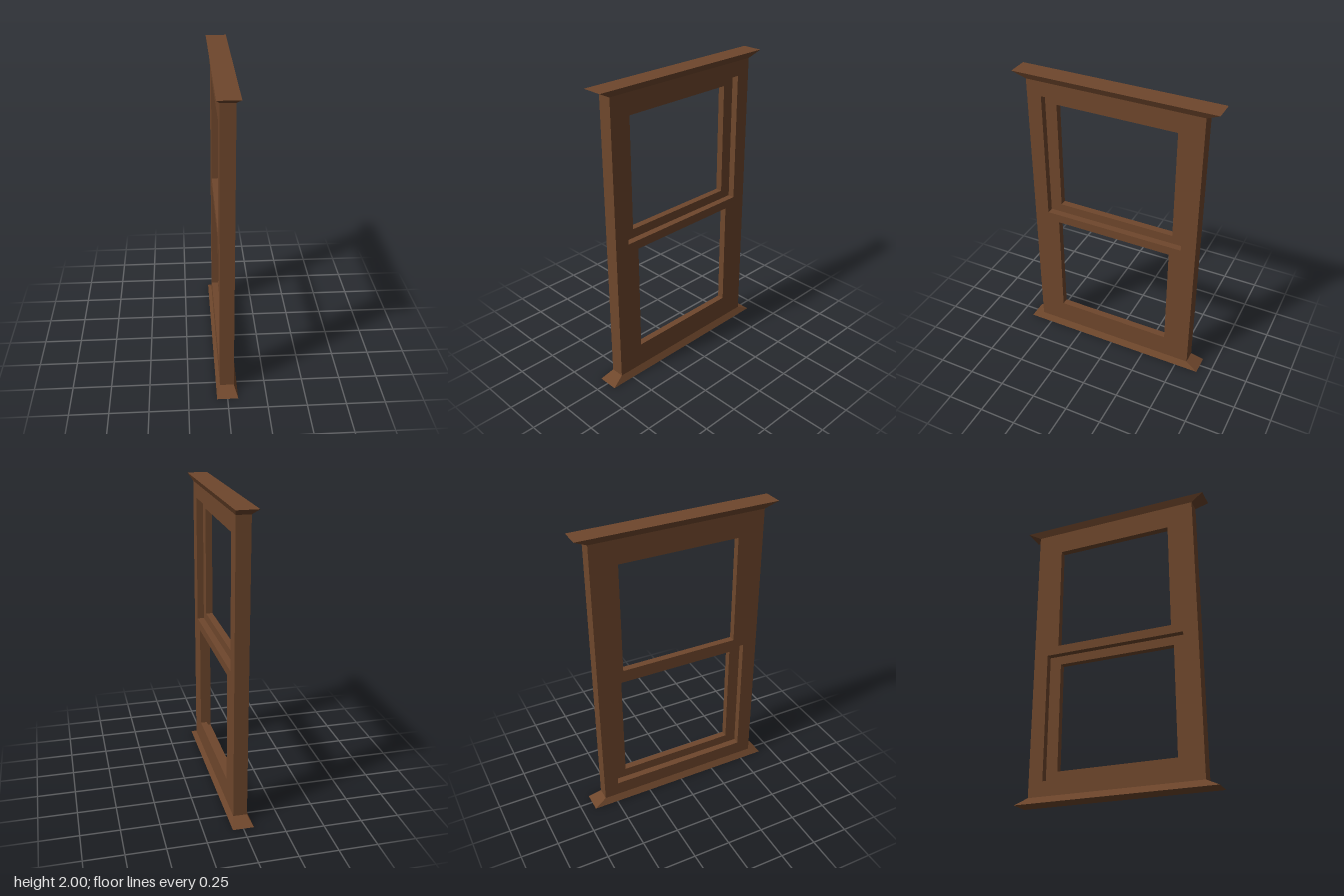
import * as THREE from 'three';

const wood = new THREE.MeshStandardMaterial({ color: 0x6f472c });
wood.name = 'brownWood';

// Rectangular frame in the yz plane, spanning x0..x1, with a rectangular opening
function makeFrame(name, halfW, y0, y1, holeHalfW, holeY0, holeY1, x0, x1) {
  const shape = new THREE.Shape();
  shape.moveTo(-halfW, y0).lineTo(halfW, y0).lineTo(halfW, y1).lineTo(-halfW, y1).closePath();
  const hole = new THREE.Path();
  hole.moveTo(-holeHalfW, holeY0).lineTo(-holeHalfW, holeY1).lineTo(holeHalfW, holeY1).lineTo(holeHalfW, holeY0).closePath();
  shape.holes.push(hole);
  const geo = new THREE.ExtrudeGeometry(shape, { depth: x1 - x0, bevelEnabled: false });
  geo.rotateY(Math.PI / 2); // extrusion now runs along +x
  geo.translate(x0, 0, 0);
  const mesh = new THREE.Mesh(geo, wood);
  mesh.name = name;
  return mesh;
}

// Moulding that flares from the frame's outline to a wider outer face
function makeMoulding(name, innerY, outerY) {
  const geo = new THREE.BoxGeometry(1, Math.abs(outerY - innerY), 1);
  geo.translate(0, (innerY + outerY) / 2, 0);
  const p = geo.attributes.position;
  for (let i = 0; i < p.count; i++) {
    const outer = Math.abs(p.getY(i) - outerY) < 1e-4;
    p.setX(i, Math.sign(p.getX(i)) * (outer ? 0.068 : 0.045));
    p.setZ(i, Math.sign(p.getZ(i)) * (outer ? 0.662 : 0.577));
  }
  geo.computeVertexNormals();
  const mesh = new THREE.Mesh(geo, wood);
  mesh.name = name;
  return mesh;
}

export function createModel() {
  const group = new THREE.Group();
  group.name = 'sashWindow';
  group.add(
    makeFrame('outerFrame', 0.577, 0.043, 1.957, 0.479, 0.14, 1.86, -0.045, 0.045),
    // Upper sash sits on the -x side, lower sash on the +x side
    makeFrame('upperSash', 0.479, 1.0, 1.86, 0.4, 1.06, 1.8, -0.045, 0),
    makeFrame('lowerSash', 0.479, 0.14, 1.0, 0.4, 0.205, 0.94, 0, 0.045),
    makeMoulding('topMoulding', 1.957, 2),
    makeMoulding('sill', 0.043, 0)
  );
  return group;
}
